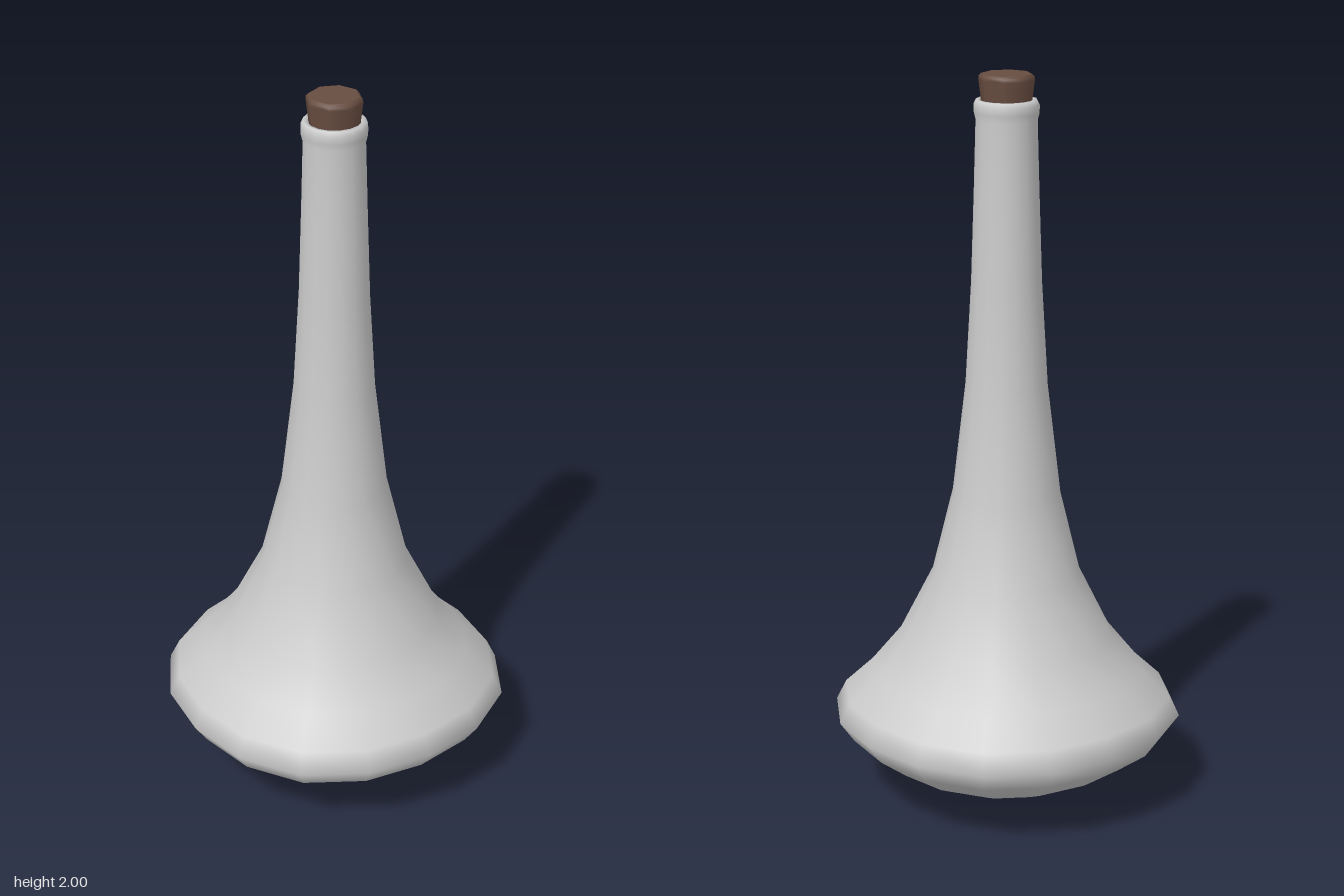
import * as THREE from 'three';

// Surface of revolution from [radius, height] pairs, listed bottom to top
function lathe(name, profile, sides, material) {
  const points = profile.map(([r, y]) => new THREE.Vector2(r, y));
  const mesh = new THREE.Mesh(new THREE.LatheGeometry(points, sides), material);
  mesh.name = name;
  return mesh;
}

export function createModel() {
  const group = new THREE.Group();
  group.name = 'corkedFlask';
  const glass = new THREE.MeshStandardMaterial({ color: 0xcccccc, side: THREE.DoubleSide });
  const corkBrown = new THREE.MeshStandardMaterial({ color: 0x684d41 });

  // Flask: shallow rounded base, wide shoulder, long neck, rolled lip
  const flask = lathe('flask', [
    [0, 0], [0.06, 0.005], [0.13, 0.022], [0.245, 0.07], [0.345, 0.12], [0.425, 0.18],
    [0.463, 0.235], [0.437, 0.29], [0.365, 0.36], [0.287, 0.46], [0.2, 0.64],
    [0.145, 0.87], [0.11, 1.17], [0.094, 1.45], [0.086, 1.7], [0.081, 1.88],
    [0.086, 1.9], [0.086, 1.92], [0.08, 1.933], [0.07, 1.933], [0.063, 1.92], [0.063, 1.86],
  ], 16, glass);

  // The wide belly is slightly fuller on the diagonals
  const pos = flask.geometry.attributes.position;
  for (let i = 0; i < pos.count; i++) {
    const x = pos.getX(i), z = pos.getZ(i);
    const fullness = Math.min(1, Math.hypot(x, z) / 0.4);
    const s = 1 + 0.0185 * fullness * (1 - Math.cos(4 * Math.atan2(x, z)));
    pos.setX(i, x * s);
    pos.setZ(i, z * s);
  }
  group.add(flask);

  // Cork: eight-sided, flaring towards a softly bevelled top
  group.add(lathe('cork', [
    [0, 1.87], [0.064, 1.87], [0.068, 1.935], [0.074, 1.985], [0.073, 1.993], [0.066, 2], [0.064, 2], [0, 2],
  ], 8, corkBrown));

  return group;
}
